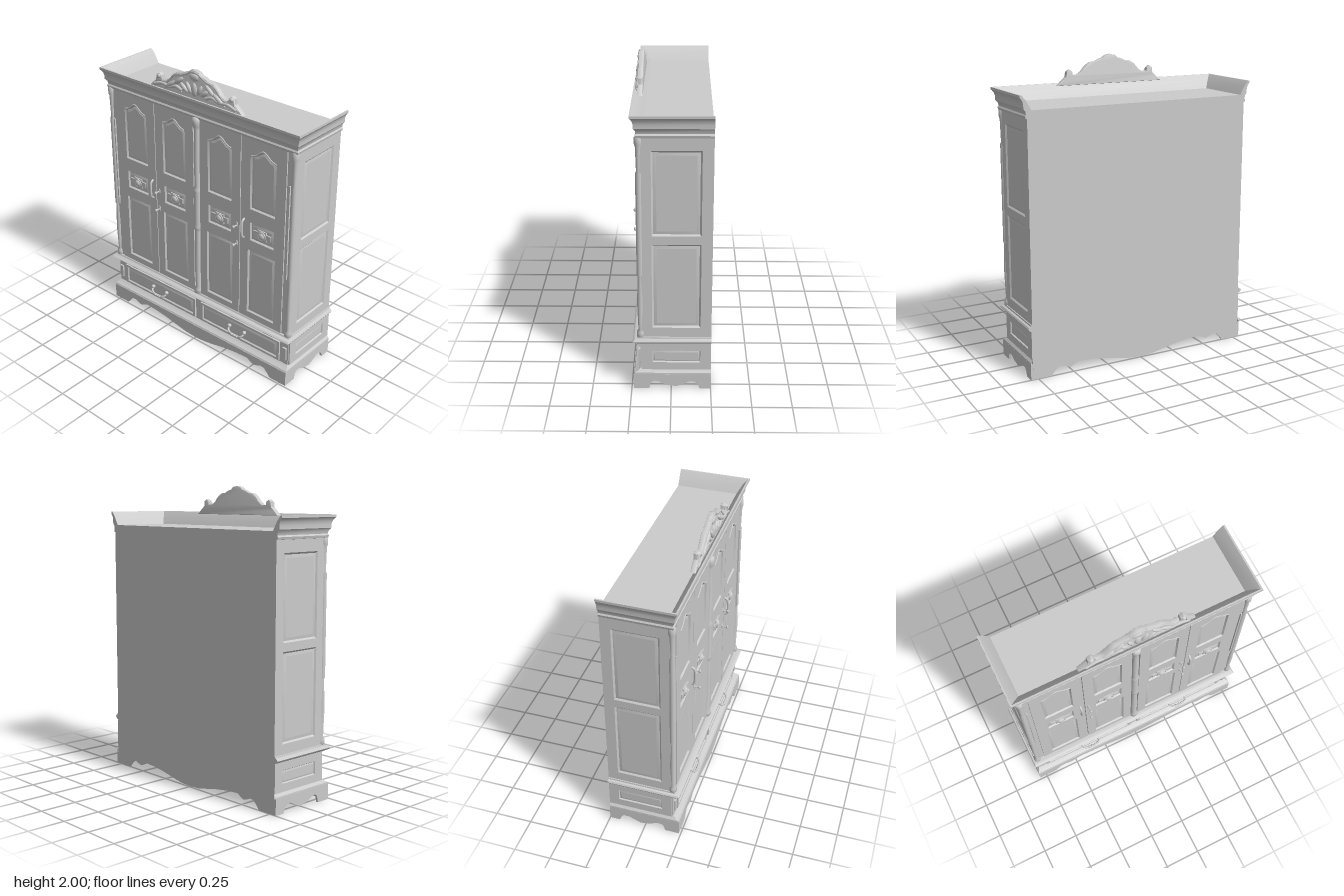
import * as THREE from 'three';
import { toCreasedNormals, mergeGeometries } from 'three/addons/utils/BufferGeometryUtils.js';

const X = 0.785, F = 0.195, BACK = -0.25; // side, front and back planes of the carcass
const mat = new THREE.MeshStandardMaterial({ color: 0xcccccc, side: THREE.DoubleSide });
const V2 = (a) => a.map(([x, y]) => new THREE.Vector2(x, y));

function add(parent, name, geo, x = 0, y = 0, z = 0) {
  const m = new THREE.Mesh(geo, mat);
  m.name = name;
  m.position.set(x, y, z);
  parent.add(m);
  return m;
}

const box = (parent, name, w, h, d, x, y, z) => add(parent, name, new THREE.BoxGeometry(w, h, d), x, y, z);

// Triangles from a list of quads between two rows of points
function strip(rowA, rowB, out) {
  for (let i = 0; i < rowA.length - 1; i++) {
    const [a, b, c, d] = [rowA[i], rowA[i + 1], rowB[i + 1], rowB[i]];
    out.push(...a, ...b, ...c, ...a, ...c, ...d);
  }
}

function fromTriangles(pos) {
  const g = new THREE.BufferGeometry();
  g.setAttribute('position', new THREE.Float32BufferAttribute(pos, 3));
  g.computeVertexNormals();
  return toCreasedNormals(g, 0.6);
}

// Moulding swept round both sides and the front; profile points are [out, y, outAtFront], listed upwards
function moulding(parent, name, profile, capped = true) {
  const rows = profile.map(([o, y, f = o]) => [
    [-X - o, y, BACK], [-X - o, y, F + f], [X + o, y, F + f], [X + o, y, BACK]]);
  const pos = [];
  for (let i = 0; i < rows.length - 1; i++) strip(rows[i], rows[i + 1], pos);
  add(parent, name, fromTriangles(pos));
  if (!capped) return;
  const cap = new THREE.ShapeGeometry(new THREE.Shape(V2(profile)));
  for (const s of [-1, 1]) add(parent, name + 'End', cap, s * X, 0, BACK).scale.x = s;
}

// Board with sunk, bevelled panels; outlines are given round the board's centre
function panelBoard(parent, name, w, h, depth, outlines, inset = 0.025) {
  const g = new THREE.Group();
  g.name = name;
  const rect = rectangle(0, 0, w, h);
  const shape = new THREE.Shape(rect);
  shape.holes = outlines.map((o) => new THREE.Path(o));
  add(g, 'frame', new THREE.ExtrudeGeometry(shape, { depth, bevelEnabled: false }));
  for (const o of outlines) {
    const b = new THREE.Box2().setFromPoints(o), c = b.getCenter(new THREE.Vector2()), s = b.getSize(new THREE.Vector2());
    const shrink = (d) => o.map((p) => new THREE.Vector2(
      c.x + (p.x - c.x) * (1 - 2 * d / s.x), c.y + (p.y - c.y) * (1 - 2 * d / s.y)));
    const ring = (d, z) => { const r = shrink(d).map((p) => [p.x, p.y, z]); return [...r, r[0]]; };
    const pos = [];
    strip(ring(0, depth), ring(inset * 0.35, depth * 0.3), pos);
    strip(ring(inset * 0.35, depth * 0.3), ring(inset, depth * 0.6), pos);
    add(g, 'panelBevel', fromTriangles(pos));
    add(g, 'panelField', new THREE.ShapeGeometry(new THREE.Shape(shrink(inset))), 0, 0, depth * 0.6);
  }
  parent.add(g);
  return g;
}

const rectangle = (x, y, w, h) => V2([[x - w / 2, y - h / 2], [x + w / 2, y - h / 2], [x + w / 2, y + h / 2], [x - w / 2, y + h / 2]]);

// Skirt board with a shaped lower edge
function apron(parent, name, edge, top, depth) {
  const [first, last] = [edge[0], edge[edge.length - 1]];
  const shape = new THREE.Shape(V2([...edge, [last[0], top], [first[0], top]]));
  return add(parent, name, new THREE.ExtrudeGeometry(shape, { depth, bevelEnabled: false }));
}

const mirrored = (half) => [...half, ...half.filter((p) => p[0] !== 0).map(([x, y]) => [-x, y]).reverse()];

function tube(parent, name, pts, r, x, y, z) {
  const curve = new THREE.CatmullRomCurve3(pts.map((p) => new THREE.Vector3(...p)));
  return add(parent, name, new THREE.TubeGeometry(curve, 24, r, 8), x, y, z);
}

function ball(parent, name, r, x, y, z, sx = 1, sy = 1, sz = 1) {
  add(parent, name, new THREE.SphereGeometry(r, 16, 12), x, y, z).scale.set(sx, sy, sz);
}

function buildDoor(parent, cx, w) {
  const arch = V2([[-0.1, 0.17], [0.1, 0.17], [0.1, 0.53], [0.085, 0.545], [0.06, 0.55], [0.03, 0.572],
    [0, 0.59], [-0.03, 0.572], [-0.06, 0.55], [-0.085, 0.545], [-0.1, 0.53]]);
  const door = panelBoard(parent, 'door', w, 1.32, 0.015,
    [arch, rectangle(0, 0.01, 0.19, 0.13), rectangle(0, -0.37, 0.22, 0.48)]);
  door.position.set(cx, 1.025, F - 0.01);
  // Rosette in the middle panel
  box(door, 'rosettePlate', 0.14, 0.035, 0.008, 0, 0.012, 0.013);
  box(door, 'rosetteBlock', 0.07, 0.07, 0.008, 0, 0.01, 0.013);
  add(door, 'rosetteRing', new THREE.TorusGeometry(0.028, 0.006, 8, 24), 0, 0.01, 0.018);
  ball(door, 'rosetteBoss', 0.025, 0, 0.01, 0.018, 1, 1, 0.6);
  // Arched lip over the upper panel
  tube(door, 'archLip', [[-0.095, 0.54, 0], [-0.06, 0.552, 0], [0, 0.592, 0], [0.06, 0.552, 0], [0.095, 0.54, 0]], 0.006, 0, 0, 0.014);
}

function buildSide(parent, s) {
  const mid = (BACK + F - 0.01) / 2, w = F - 0.01 - BACK;
  const upper = panelBoard(parent, 'sidePanels', w, 1.34, 0.013,
    [rectangle(0, 0.31, 0.3, 0.54), rectangle(0, -0.3, 0.3, 0.57)], 0.03);
  upper.position.set(s * (X - 0.013), 1.02, mid);
  const lower = panelBoard(parent, 'sideBasePanel', w, 0.19, 0.013, [rectangle(0, 0, 0.3, 0.085)], 0.015);
  lower.position.set(s * (X - 0.008), 0.23, mid);
  upper.rotation.y = lower.rotation.y = s * Math.PI / 2;

  // Corner post with a slim turned column and a reeded strip
  box(parent, 'cornerPost', 0.06, 1.33, 0.02, s * 0.752, 1.025, F - 0.01);
  const col = V2([[0.012, 0.36], [0.024, 0.37], [0.024, 0.4], [0.014, 0.42], [0.02, 0.6], [0.014, 0.79], [0.02, 0.8],
    [0.02, 1.46], [0.014, 1.47], [0.018, 1.62], [0.024, 1.64], [0.024, 1.68], [0.012, 1.69]]);
  add(parent, 'cornerColumn', new THREE.LatheGeometry(col, 16), s * 0.772, 0, F - 0.005);
  for (const dx of [-0.011, 0.011]) box(parent, 'reededStrip', 0.009, 0.66, 0.012, s * 0.757 + dx, 1.13, F + 0.005);
  box(parent, 'cornerTablet', 0.03, 0.09, 0.012, s * 0.757, 0.225, F + 0.006);
}

function buildHardware(parent, s) {
  // Drawer pull
  tube(parent, 'drawerPull', [[-0.065, 0.012, 0], [-0.06, -0.008, 0.022], [-0.03, -0.022, 0.03], [0, -0.025, 0.032],
    [0.03, -0.022, 0.03], [0.06, -0.008, 0.022], [0.065, 0.012, 0]], 0.007, s * 0.36, 0.22, F + 0.01);
  for (const dx of [-0.065, 0.065]) ball(parent, 'pullRose', 0.014, s * 0.36 + dx, 0.233, F + 0.015);
  for (const dx of [-0.022, 0, 0.022]) ball(parent, 'pullBead', 0.01, s * 0.36 + dx, 0.196, F + 0.041);
  // Upright door handle
  tube(parent, 'doorHandle', [[0, -0.07, 0], [0, -0.055, 0.022], [0, 0, 0.028], [0, 0.055, 0.022], [0, 0.07, 0]], 0.008, s * 0.4, 1.04, F);
  // Keys with their plates
  for (const y of [1.04, 0.905]) {
    ball(parent, 'keyPlate', 0.012, s * 0.343, y, F + 0.006, 0.9, 2, 0.4);
    const stem = add(parent, 'keyStem', new THREE.CylinderGeometry(0.005, 0.005, 0.04, 8), s * 0.343, y, F + 0.022);
    stem.rotation.x = Math.PI / 2;
    ball(parent, 'keyBow', 0.01, s * 0.343, y, F + 0.042, 1, 1.3, 0.8);
  }
}

function buildCrest(parent) {
  const crest = new THREE.Group();
  crest.name = 'crest';
  const half = [[-0.38, 1.81], [-0.35, 1.835], [-0.32, 1.86], [-0.315, 1.895], [-0.3, 1.905], [-0.285, 1.895],
    [-0.28, 1.87], [-0.24, 1.87], [-0.21, 1.89], [-0.18, 1.925], [-0.15, 1.945], [-0.11, 1.95], [-0.08, 1.965],
    [-0.05, 1.972], [-0.035, 1.988], [0, 1.995]];
  add(crest, 'crestBoard', toCreasedNormals(new THREE.ExtrudeGeometry(new THREE.Shape(V2(mirrored(half))),
    { depth: 0.022, bevelThickness: 0.006, bevelSize: 0.005, bevelSegments: 2 }), 0.7), 0, 0, 0.184);
  const rim = half.slice(1).concat(half.slice(1, -1).map(([x, y]) => [-x, y]).reverse());
  tube(crest, 'crestRim', rim.map(([x, y]) => [x, y - 0.006, 0]), 0.007, 0, 0, 0.21);
  // Carved leaf spray
  ball(crest, 'leaf', 0.03, 0, 1.875, 0.21, 0.8, 1.5, 0.5);
  ball(crest, 'shell', 0.03, 0, 1.955, 0.21, 1.3, 0.8, 0.4);
  for (const s of [-1, 1]) {
    ball(crest, 'bud', 0.016, s * 0.3, 1.89, 0.208);
    for (const [x, y, tilt, len] of [[0.045, 1.88, -0.5, 0.04], [0.085, 1.87, -0.9, 0.04], [0.13, 1.9, 0.9, 0.05], [0.2, 1.86, 1, 0.06]]) {
      const leaf = add(crest, 'leaf', new THREE.SphereGeometry(1, 14, 10), s * x, y, 0.211);
      leaf.scale.set(0.016, len, 0.015);
      leaf.rotation.z = s * tilt;
    }
    tube(crest, 'scroll', [[s * 0.1, 1.845, 0], [s * 0.15, 1.86, 0], [s * 0.2, 1.845, 0], [s * 0.27, 1.85, 0], [s * 0.34, 1.83, 0]], 0.011, 0, 0, 0.214);
  }
  parent.add(crest);
}

export function createModel() {
  const root = new THREE.Group();
  root.name = 'wardrobe';

  // Carcass and mouldings
  const depth = F - 0.01 - BACK;
  box(root, 'carcass', 2 * (X - 0.013), 1.39, depth, 0, 1.035, BACK + depth / 2);
  moulding(root, 'cornice', [[-0.02, 1.675], [0.008, 1.68], [0.012, 1.695], [0.006, 1.705], [0.01, 1.725], [0.022, 1.74],
    [0.022, 1.765], [0.027, 1.785], [0.036, 1.8], [0.043, 1.807], [0.043, 1.822], [0.032, 1.822], [0.005, 1.79], [-0.03, 1.73]]);
  moulding(root, 'waistMoulding', [[-0.03, 0.325], [0.01, 0.328], [0.02, 0.335, 0.035], [0.026, 0.345, 0.045],
    [0.02, 0.355, 0.035], [0.008, 0.36, 0.015], [0.006, 0.37, 0.01], [-0.03, 0.372]]);
  moulding(root, 'drawerBand', [[-0.004, 0.13], [-0.004, 0.33]], false);
  moulding(root, 'plinthCove', [[0.015, 0.1, 0.042], [0.014, 0.115, 0.035], [0.006, 0.125, 0.015], [-0.004, 0.14, 0]], false);

  // Shaped skirt on all four sides
  const frontEdge = mirrored([[-0.8, 0], [-0.67, 0], [-0.65, 0.025], [-0.62, 0.055], [-0.59, 0.058], [-0.56, 0.045], [-0.53, 0.037],
    [-0.5, 0.05], [-0.475, 0.065], [-0.38, 0.06], [-0.27, 0.045], [-0.17, 0.025], [-0.09, 0.01], [0, 0.005]]);
  const sideEdge = [[-0.237, 0], [-0.14, 0], [-0.13, 0.04], [-0.11, 0.058], [-0.08, 0.052], [-0.04, 0.03], [0.03, 0.016],
    [0.08, 0.035], [0.12, 0.056], [0.15, 0.052], [0.17, 0.03], [0.18, 0], [0.25, 0]];
  apron(root, 'frontSkirt', frontEdge, 0.105, 0.02).position.z = 0.217;
  apron(root, 'backSkirt', frontEdge.map(([x, y]) => [x * 0.981, y]), 0.345, 0.015).position.z = BACK;
  for (const x of [-0.8, 0.785]) {
    const skirt = apron(root, 'sideSkirt', sideEdge, 0.105, 0.015);
    skirt.rotation.y = Math.PI / 2;
    skirt.position.x = x;
  }

  // Doors, drawers, sides and fittings
  for (const s of [-1, 1]) {
    buildDoor(root, s * 0.545, 0.348);
    buildDoor(root, s * 0.197, 0.338);
    const drawer = panelBoard(root, 'drawer', 0.69, 0.15, 0.012, [rectangle(0, 0, 0.65, 0.12)], 0.022);
    drawer.position.set(s * 0.37, 0.222, F - 0.003);
    buildSide(root, s);
    buildHardware(root, s);
  }

  // Turned column between the middle doors
  const column = V2([[0.015, 0.365], [0.03, 0.37], [0.03, 0.4], [0.02, 0.42], [0.026, 0.6], [0.02, 0.86], [0.03, 0.88], [0.03, 0.9],
    [0.027, 0.92], [0.027, 1.16], [0.03, 1.18], [0.02, 1.2], [0.025, 1.4], [0.02, 1.6], [0.03, 1.63], [0.034, 1.66], [0.03, 1.685], [0.015, 1.69]]);
  add(root, 'centreColumn', new THREE.LatheGeometry(column, 20), 0, 0, F - 0.005);

  buildCrest(root);
  return root;
}
